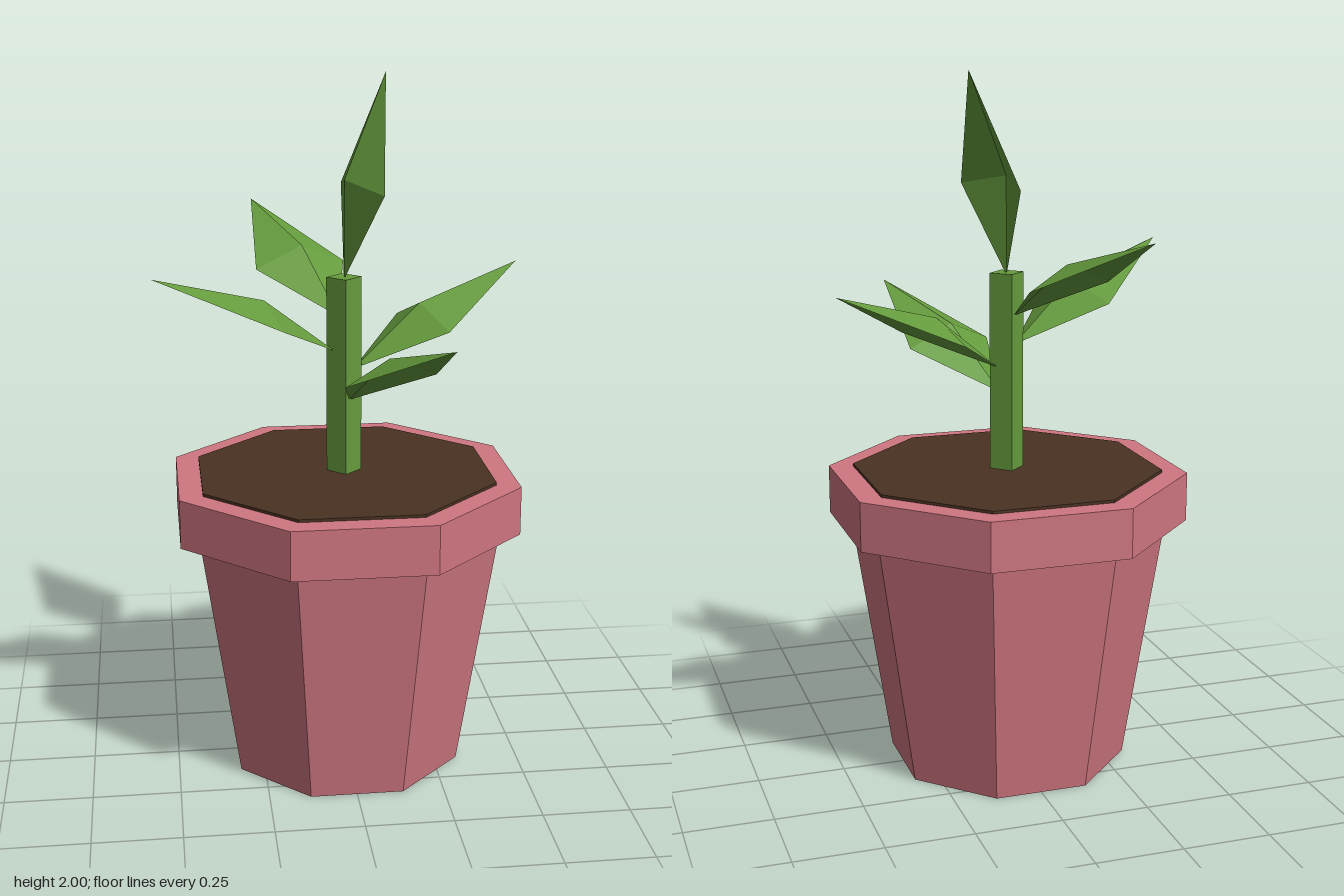
import * as THREE from 'three';

const material = (name, color, side = THREE.FrontSide) => {
  const m = new THREE.MeshStandardMaterial({ color, side, flatShading: true });
  m.name = name;
  return m;
};

// Eight-sided tapered block with flats facing front; radii are measured to the flats
function octagon(name, topFlat, bottomFlat, y0, y1, mat) {
  const k = 1 / Math.cos(Math.PI / 8);
  const geo = new THREE.CylinderGeometry(topFlat * k, bottomFlat * k, y1 - y0, 8);
  geo.rotateY(Math.PI / 8);
  geo.translate(0, (y0 + y1) / 2, 0);
  const mesh = new THREE.Mesh(geo, mat);
  mesh.name = name;
  return mesh;
}

// Diamond leaf lying along +z, folded upwards along its midrib
function leafGeometry(length) {
  const geo = new THREE.BufferGeometry();
  geo.setAttribute('position', new THREE.Float32BufferAttribute([
    0, 0, 0,            // base
    0.144, 0, 0.256,    // one side
    -0.144, 0, 0.256,   // other side
    0, 0.059, 0.272,    // midrib
    0, 0, length,       // tip
  ], 3));
  geo.setIndex([0, 3, 1, 1, 3, 4, 0, 2, 3, 2, 4, 3]);
  const flat = geo.toNonIndexed();
  flat.computeVertexNormals();
  return flat;
}

export function createModel() {
  const group = new THREE.Group();
  group.name = 'pottedPlant';

  const terracotta = material('terracotta pink', 0xcf7680);
  const soilBrown = material('soil brown', 0x4a3222);
  const green = material('plant green', 0x659b3d);
  const leafGreen = green.clone();
  leafGreen.side = THREE.DoubleSide;
  green.side = THREE.DoubleSide;

  // Pot and soil
  group.add(octagon('potBody', 0.425, 0.32, 0, 0.725, terracotta));
  group.add(octagon('potRim', 0.48, 0.48, 0.725, 0.866, terracotta));
  group.add(octagon('soil', 0.414, 0.414, 0.86, 0.874, soilBrown));

  // Square stem, corner to the front
  const stem = new THREE.Mesh(new THREE.CylinderGeometry(0.05, 0.05, 0.58, 4), green);
  stem.name = 'stem';
  stem.position.y = 1.15;
  group.add(stem);

  // Leaves: heading, base height, pitch, distance from axis, length
  const leaves = [
    [22.5, 1.09, 25.2, 0.03, 0.611],
    [112.5, 1.17, 25.2, 0.03, 0.611],
    [292.5, 1.23, 25.2, 0.03, 0.611],
    [202.5, 1.32, 25.2, 0.03, 0.611],
    [107.5, 1.432, 77.5, 0, 0.581],
  ];
  leaves.forEach(([heading, y, pitch, out, length], i) => {
    const leaf = new THREE.Mesh(leafGeometry(length), green);
    leaf.name = i < 4 ? `sideLeaf${i + 1}` : 'topLeaf';
    const a = THREE.MathUtils.degToRad(heading);
    leaf.rotation.set(-THREE.MathUtils.degToRad(pitch), a, 0, 'YXZ');
    leaf.position.set(Math.sin(a) * out, y, Math.cos(a) * out);
    group.add(leaf);
  });

  return group;
}
